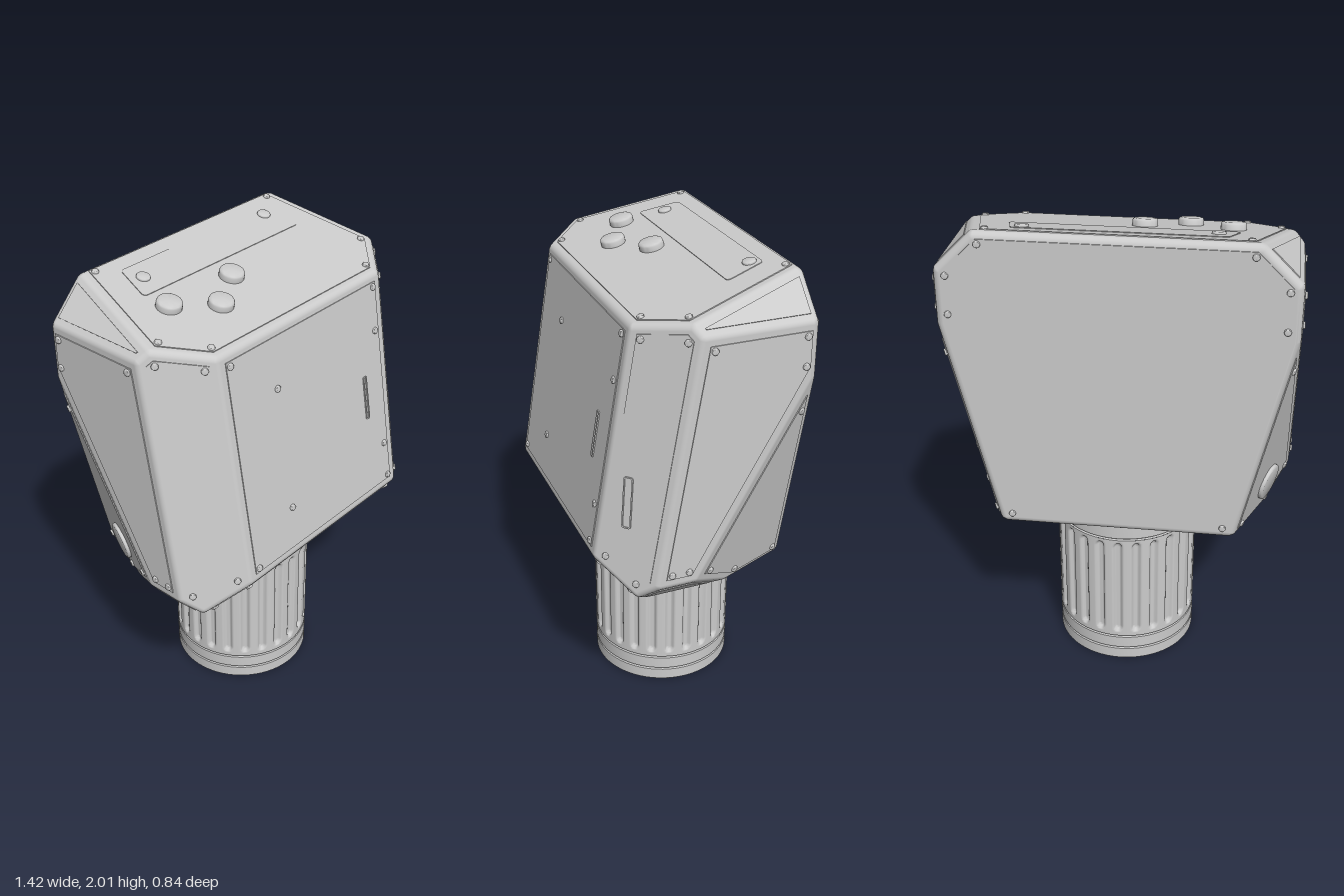
import * as THREE from 'three';
import { toCreasedNormals } from 'three/addons/utils/BufferGeometryUtils.js';
import { ConvexGeometry } from 'three/addons/geometries/ConvexGeometry.js';

const V = (x, y, z) => new THREE.Vector3(x, y, z);
const mat = new THREE.MeshStandardMaterial({ color: 0xcccccc });
const EDGE = 0.03; // rounding radius of the housing edges
const PLATE = 0.004; // thickness of the cover plates

// A housing face: plane with outward normal n through point p
function face(name, n, p, screws = true) {
  n.normalize();
  return { name, n, d: n.dot(p), screws };
}

function housingFaces() {
  const list = [
    face('top', V(0, 0.66, 0.16), V(0, 1.847, 0.25)),
    face('front', V(0, 0.16, 0.96), V(0, 0.88, 0.415)),
    face('back', V(0, 0, -1), V(0, 0, -0.41)),
    face('bottom', V(0, -1, 0), V(0, 0.715, 0)),
    face('frontBottom', V(0, -1, 1), V(0, 0.715, 0.25)),
  ];
  for (const [side, s] of [['left', 1], ['right', -1]]) {
    list.push(
      face(side + 'Side', V(s, 0, 0), V(s * 0.7, 0, 0)),
      face(side + 'FrontCorner', V(s * 0.91, 0.167, 1), V(s * 0.485, 0.88, 0.415)),
      face(side + 'TopCorner', V(s, 1, 0), V(s * 0.545, 2, 0), false),
      face(side + 'BottomCorner', V(s, -1, 0), V(s * 0.595, 0.715, 0), false),
      face(side + 'Rear', V(s, -0.233, -0.411), V(s * 0.48, 0.715, -0.41)),
    );
  }
  return list;
}

// Point where three planes meet
function meet(a, b, c) {
  const bc = b.n.clone().cross(c.n), det = a.n.dot(bc);
  if (Math.abs(det) < 1e-6) return null;
  return bc.multiplyScalar(a.d)
    .addScaledVector(c.n.clone().cross(a.n), b.d)
    .addScaledVector(a.n.clone().cross(b.n), c.d)
    .divideScalar(det);
}

// All corners of the convex solid bounded by the planes
function corners(planes) {
  const out = [];
  for (let i = 0; i < planes.length; i++)
    for (let j = i + 1; j < planes.length; j++)
      for (let k = j + 1; k < planes.length; k++) {
        const p = meet(planes[i], planes[j], planes[k]);
        if (p && planes.every(f => f.n.dot(p) < f.d + 1e-6))
          out.push({ p, faces: [planes[i], planes[j], planes[k]] });
      }
  return out;
}

// Solid with rounded edges: arcs of points around every inset corner, then their hull
function roundedSolid(faces) {
  const pts = [], normals = [], steps = 5;
  for (const { p, faces: f } of corners(faces.map(a => ({ n: a.n, d: a.d - EDGE }))))
    for (const [a, b] of [[0, 1], [1, 2], [2, 0]])
      for (let i = 0; i < steps; i++) {
        const w = f[a].n.angleTo(f[b].n), t = i / steps;
        const n = f[a].n.clone().multiplyScalar(Math.sin((1 - t) * w))
          .addScaledVector(f[b].n, Math.sin(t * w)).normalize();
        pts.push(p.clone().addScaledVector(n, EDGE));
        normals.push(n);
      }
  const geo = new ConvexGeometry(pts);
  const pos = geo.attributes.position, q = V(0, 0, 0);
  for (let i = 0; i < pos.count; i++) {
    q.fromBufferAttribute(pos, i);
    let best = 0;
    pts.forEach((p, k) => { if (p.distanceToSquared(q) < pts[best].distanceToSquared(q)) best = k; });
    geo.attributes.normal.setXYZ(i, normals[best].x, normals[best].y, normals[best].z);
  }
  return geo;
}

// Matrix whose local z is the face normal and local y points up the face
function basis(f, origin) {
  const up = Math.abs(f.n.y) > 0.99 ? V(0, 0, -1) : V(0, 1, 0);
  const v = up.addScaledVector(f.n, -up.dot(f.n)).normalize();
  return new THREE.Matrix4().makeBasis(v.clone().cross(f.n), v, f.n).setPosition(origin);
}

// Corners of a face, drawn in by g from its borders, in order around it
function inset(faces, f, g) {
  const shrunk = faces.map(a => a === f ? a
    : { n: a.n, d: a.d - g * Math.sqrt(1 - a.n.dot(f.n) ** 2) });
  const pts = corners(shrunk).filter(c => c.faces.includes(f)).map(c => c.p);
  const mid = pts.reduce((s, p) => s.add(p), V(0, 0, 0)).divideScalar(pts.length);
  const m = basis(f, mid), inv = m.clone().invert();
  const flat = pts.map(p => p.clone().applyMatrix4(inv))
    .sort((a, b) => Math.atan2(a.y, a.x) - Math.atan2(b.y, b.x));
  return { m, flat };
}

function capsule(w, h, Type = THREE.Shape) {
  const s = new Type(), r = Math.min(w, h) * 0.25, x = w / 2 - r, y = h / 2 - r;
  s.absarc(x, y, r, 0, Math.PI / 2);
  s.absarc(-x, y, r, Math.PI / 2, Math.PI);
  s.absarc(-x, -y, r, Math.PI, Math.PI * 1.5);
  s.absarc(x, -y, r, Math.PI * 1.5, Math.PI * 2);
  return s;
}

const extrude = (shape, depth) =>
  new THREE.ExtrudeGeometry(shape, { depth, bevelEnabled: false, curveSegments: 6 });

// Round knob with a softened rim, standing on local z = 0
function knob(r, h) {
  const b = Math.min(0.01, h * 0.4);
  const profile = [[r, 0], [r, h - b], [r - b * 0.3, h - b * 0.3], [r - b, h], [0, h]];
  const g = new THREE.LatheGeometry(profile.map(p => new THREE.Vector2(...p)), 28);
  return toCreasedNormals(g.rotateX(Math.PI / 2), 0.9);
}

// Fluted grip: a cylinder pressed in along rounded slots
function flutedGrip(r, y0, y1, count) {
  const g = new THREE.CylinderGeometry(r, r, y1 - y0, count * 14, 64, true);
  g.translate(0, (y0 + y1) / 2, 0);
  const pos = g.attributes.position, pitch = Math.PI * 2 / count;
  for (let i = 0; i < pos.count; i++) {
    const x = pos.getX(i), y = pos.getY(i), z = pos.getZ(i), a = Math.atan2(x, z);
    const across = (a - Math.round(a / pitch) * pitch) * r;
    const along = Math.max(0, Math.abs(y - 0.388) - 0.215);
    const k = 1 - 0.05 * (1 - THREE.MathUtils.smoothstep(Math.hypot(across, along), 0.012, 0.02));
    pos.setXYZ(i, x * k, y, z * k);
  }
  g.computeVertexNormals();
  return g;
}

export function createModel() {
  const model = new THREE.Group();
  const faces = housingFaces();
  const by = Object.fromEntries(faces.map(f => [f.name, f]));

  const add = (name, geo, matrix) => {
    const mesh = new THREE.Mesh(geo, mat);
    mesh.name = name;
    if (matrix) mesh.applyMatrix4(matrix);
    model.add(mesh);
  };
  // Place a part on a face; the coordinate given as null is solved from the plane
  const addOn = (name, f, geo, x, y, z) => {
    const c = [x, y, z], n = f.n.toArray(), k = c.indexOf(null);
    c[k] = 0;
    c[k] = (f.d + PLATE - f.n.dot(V(...c))) / n[k];
    add(name, geo, basis(f, V(...c)));
  };

  add('housing', roundedSolid(faces));

  // Cover plates with a screw in each corner
  const screw = knob(0.014, 0.008);
  for (const f of faces) {
    const { m, flat } = inset(faces, f, 0.033);
    add(f.name + 'Plate', extrude(new THREE.Shape(flat.map(p => new THREE.Vector2(p.x, p.y))), PLATE), m);
    if (!f.screws) continue;
    const holes = inset(faces, f, 0.052), used = [];
    for (const p of holes.flat) {
      if (used.some(q => q.distanceTo(p) < 0.06)) continue;
      used.push(p);
      const at = p.clone().setZ(PLATE).applyMatrix4(holes.m);
      add(f.name + 'Screw', screw, basis(f, at));
    }
  }
  for (const x of [-0.2, 0.425])
    for (const y of [1.09, 1.61]) addOn('frontScrew', by.front, screw, x, y, null);

  // Slots with thin rims
  const slot = (w, h) => {
    const s = capsule(w, h);
    s.holes.push(capsule(w - 0.01, h - 0.01, THREE.Path));
    return extrude(s, 0.005);
  };
  addOn('frontSlot', by.front, slot(0.022, 0.195), 0.33, 1.345, null);
  addOn('cornerSlot', by.leftFrontCorner, slot(0.04, 0.215), 0.567, 1.155, null);
  addOn('bottomSlot', by.frontBottom, slot(0.27, 0.025), -0.048, 0.8, null);

  // Control strip, dials and buttons on the top
  const strip = new THREE.Shape();
  strip.moveTo(-0.43, -0.085).lineTo(0.43, -0.085);
  strip.quadraticCurveTo(0.452, -0.085, 0.447, -0.063).lineTo(0.415, 0.07);
  strip.quadraticCurveTo(0.41, 0.085, 0.395, 0.085).lineTo(-0.395, 0.085);
  strip.quadraticCurveTo(-0.41, 0.085, -0.415, 0.07).lineTo(-0.447, -0.063);
  strip.quadraticCurveTo(-0.452, -0.085, -0.43, -0.085);
  addOn('controlStrip', by.top, extrude(strip, 0.003), 0, null, -0.228);
  for (const [x, z] of [[-0.37, -0.232], [0.375, -0.27]])
    addOn('dial', by.top, knob(0.028, 0.012), x, null, z);
  for (const [x, z] of [[-0.417, -0.052], [-0.243, 0.05], [-0.07, -0.052]])
    addOn('button', by.top, knob(0.051, 0.03), x, null, z);

  // Round cap on the right rear facet
  addOn('roundCap', by.rightRear, knob(0.08, 0.015), null, 0.87, -0.19);

  // Handle
  const lathe = pts => toCreasedNormals(
    new THREE.LatheGeometry(pts.map(p => new THREE.Vector2(...p)), 72), 0.5);
  const R = 0.304, shift = new THREE.Matrix4().makeTranslation(0, 0, -0.075);
  add('handleFoot', lathe([[0, 0.03], [0.205, 0.03], [0.205, 0], [R - 0.004, 0], [R, 0.004],
    [R, 0.054], [R - 0.01, 0.056], [R - 0.01, 0.062], [R, 0.064],
    [R, 0.118], [R - 0.01, 0.12], [R - 0.01, 0.126], [R, 0.128]]), shift);
  add('handleGrip', flutedGrip(R, 0.128, 0.64, 24), shift);
  add('handleCollar', lathe([[R, 0.64], [R - 0.01, 0.642], [R - 0.01, 0.648], [R, 0.65], [R, 0.74]]), shift);

  return model;
}
